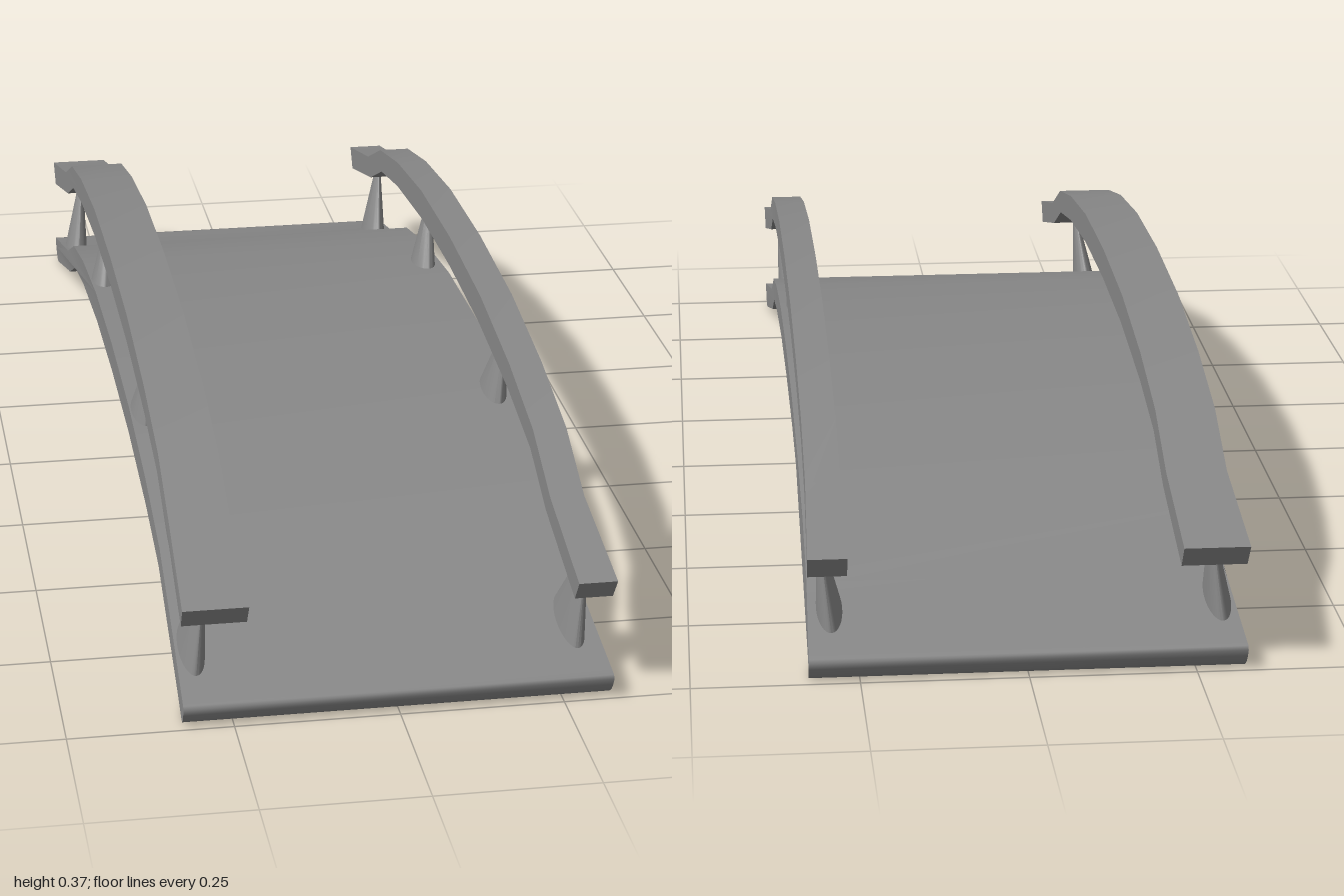
import * as THREE from 'three';
import { toCreasedNormals } from 'three/addons/utils/BufferGeometryUtils.js';

const material = new THREE.MeshStandardMaterial({ color: 0x888888 });

// Half of the arch profile as [z, y]: upper edge, two kinds of tip, lower edge
const TOP = [[0, 0.215], [0.26, 0.207], [0.49, 0.18], [0.67, 0.143], [0.8, 0.085]];
const ROUND_TIP = [[0.985, 0.042], [0.997, 0.039], [1, 0.033], [0.995, 0.022], [0.986, 0.009], [0.975, 0.001], [0.96, 0.002]];
const SHARP_TIP = [[1, 0.036], [0.975, 0]];
const UNDER = [[0.8, 0.045], [0.77, 0.053], [0.655, 0.105], [0.49, 0.134], [0.25, 0.157], [0, 0.163]];
const RAIL_LIFT = 0.16;

// Curved beam with the arch profile, spanning x0..x1
function archBeam(name, x0, x1, tip, lift, creaseAngle) {
  const half = [...TOP, ...tip, ...UNDER];
  const mirrored = half.slice(1, -1).reverse().map(([z, y]) => [-z, y]);
  const shape = new THREE.Shape([...half, ...mirrored].map(([z, y]) => new THREE.Vector2(z, y + lift)));
  const geometry = new THREE.ExtrudeGeometry(shape, { depth: x1 - x0, bevelEnabled: false });
  geometry.rotateY(-Math.PI / 2).translate(x1, 0, 0);

  // The outer sides flare slightly towards both ends
  const p = geometry.attributes.position;
  for (let i = 0; i < p.count; i++) {
    const x = p.getX(i);
    const flare = Math.max(0, Math.abs(p.getZ(i)) - 0.8) / 0.2;
    if (Math.abs(x) > 0.3) p.setX(i, x + Math.sign(x) * 0.006 * flare);
  }
  const mesh = new THREE.Mesh(toCreasedNormals(geometry, creaseAngle), material);
  mesh.name = name;
  return mesh;
}

// Leaning oval post, its foot tilted to follow the deck
function post(name, x, { z, y, radius, slope, topZ, topY, topRadius }) {
  const geometry = new THREE.CylinderGeometry(1, 1, 1, 32);
  const p = geometry.attributes.position;
  for (let i = 0; i < p.count; i++) {
    const t = p.getY(i) + 0.5;
    const dz = p.getZ(i) * THREE.MathUtils.lerp(radius, topRadius, t);
    p.setXYZ(
      i,
      x + 0.015 * t + p.getX(i) * THREE.MathUtils.lerp(0.02, 0.004, t),
      THREE.MathUtils.lerp(y, topY, t) + slope * dz,
      THREE.MathUtils.lerp(z, topZ, t) + dz
    );
  }
  const mesh = new THREE.Mesh(toCreasedNormals(geometry, 0.9), material);
  mesh.name = name;
  return mesh;
}

export function createModel() {
  const group = new THREE.Group();
  group.name = 'archedBridge';

  // Walkway with rounded ends, and the two handrails
  group.add(
    archBeam('deck', -0.32, 0.32, ROUND_TIP, 0, 1.2),
    archBeam('rightRail', -0.32, -0.227, SHARP_TIP, RAIL_LIFT, 0.5),
    archBeam('leftRail', 0.267, 0.32, SHARP_TIP, RAIL_LIFT, 0.5)
  );

  // Four posts under each handrail
  const end = { y: 0.067, radius: 0.066, topY: 0.19, topRadius: 0.011 };
  const middle = { radius: 0.053, topRadius: 0.005 };
  const posts = {
    FrontPost: { ...end, z: 0.867, topZ: 0.895, slope: -0.23 },
    FrontMiddlePost: { ...middle, z: 0.273, y: 0.204, topZ: 0.289, topY: 0.316, slope: -0.11 },
    BackMiddlePost: { ...middle, z: -0.348, y: 0.196, topZ: -0.373, topY: 0.309, slope: 0.11 },
    BackPost: { ...end, z: -0.867, topZ: -0.895, slope: 0.23 },
  };
  for (const [name, spec] of Object.entries(posts)) {
    const leftX = name === 'FrontPost' ? 0.285 : 0.289;
    group.add(post('right' + name, -0.298, spec), post('left' + name, leftX, spec));
  }
  return group;
}
